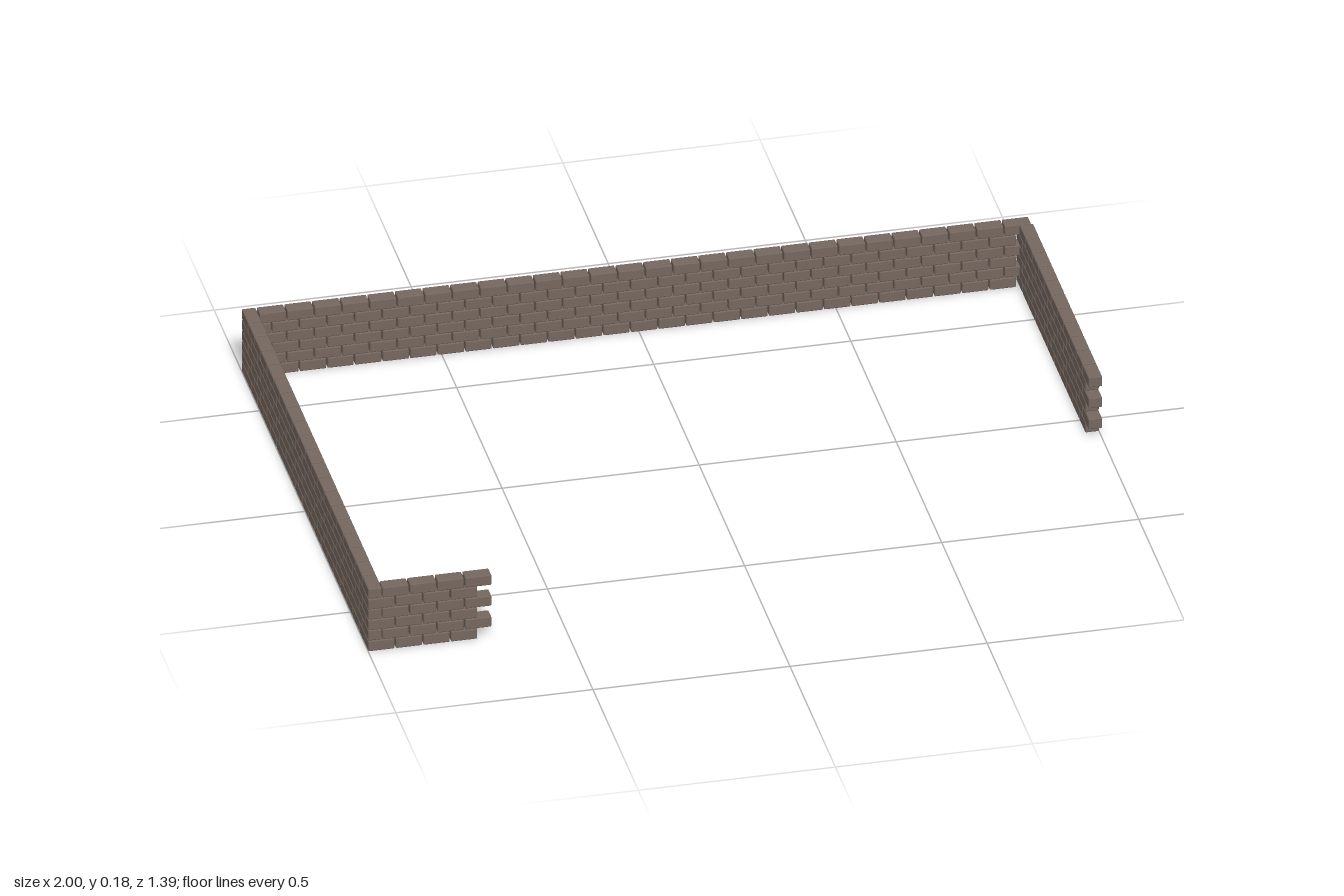
import * as THREE from 'three';
import { RoundedBoxGeometry } from 'three/addons/geometries/RoundedBoxGeometry.js';

const COURSES = 6, PITCH_Y = 0.03, THICK = 0.035, JOINT = 0.003;
const X = 1 - THICK / 2, Z = 0.697 - THICK / 2; // wall centre lines

export function createModel() {
  const model = new THREE.Group();
  model.name = 'brickWalls';
  const material = new THREE.MeshStandardMaterial({ color: 0x75675f });

  // A wall is a stack of courses; odd and even courses start at different
  // points so that the bricks interlock at the corners.
  function wall(name, axis, fixed, pitch, even, odd) {
    const group = new THREE.Group();
    group.name = name;
    const brick = new RoundedBoxGeometry(pitch - JOINT, PITCH_Y - 0.001, THICK, 1, 0.003);
    if (axis === 'z') brick.rotateY(Math.PI / 2);
    for (let row = 0; row < COURSES; row++) {
      const { start, count } = row % 2 ? odd : even;
      for (let i = 0; i < count; i++) {
        const along = start + i * pitch + (pitch - JOINT) / 2;
        const mesh = new THREE.Mesh(brick, material);
        mesh.name = 'brick';
        const y = (row + 0.5) * PITCH_Y;
        if (axis === 'x') mesh.position.set(along, y, fixed);
        else mesh.position.set(fixed, y, along);
        group.add(mesh);
      }
    }
    model.add(group);
  }

  // Long back wall
  wall('backWall', 'x', -Z, 0.07, { start: -1, count: 28 }, { start: -0.962, count: 28 });
  // Full side wall on the model's right (-x)
  wall('rightWall', 'z', -X, 0.0698, { start: -0.661, count: 19 }, { start: -0.697, count: 20 });
  // Shorter side wall on the model's left (+x)
  wall('leftWall', 'z', X, 0.0694, { start: -0.697, count: 11 }, { start: -0.661, count: 11 });
  // Short return at the front corner
  wall('frontReturn', 'x', Z, 0.07, { start: -1, count: 4 }, { start: -0.964, count: 4 });

  return model;
}
